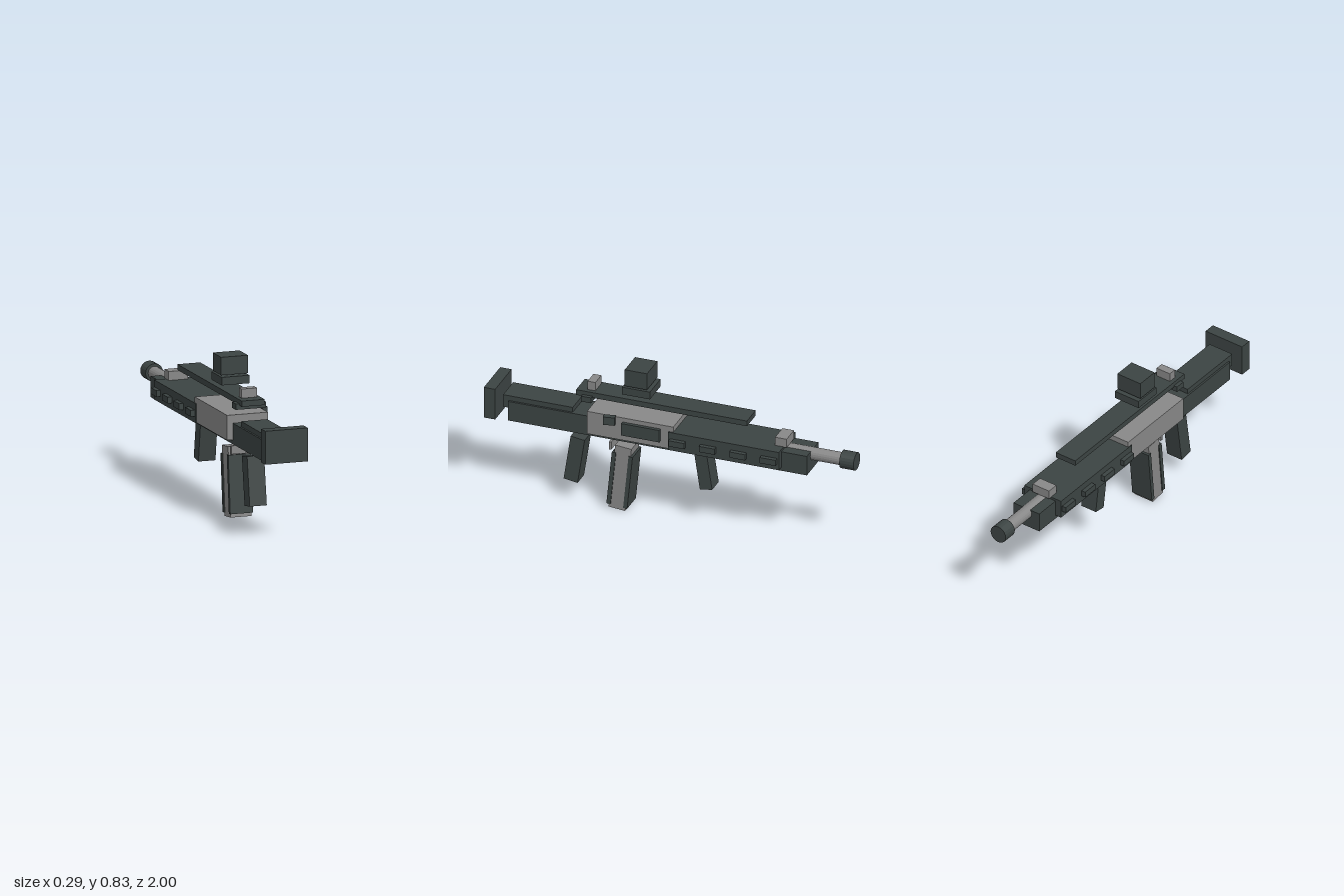
import * as THREE from 'three';

export function createModel() {
  const group = new THREE.Group();
  group.name = 'toyRifle';
  const dark = new THREE.MeshStandardMaterial({ color: 0x3c4443, flatShading: true });
  dark.name = 'dark gunmetal';
  const grey = new THREE.MeshStandardMaterial({ color: 0x888888, flatShading: true });
  grey.name = 'steel grey';
  const CX = -0.005; // centre line of the body

  function add(name, geometry, material, parent = group) {
    const mesh = new THREE.Mesh(geometry, material);
    mesh.name = name;
    parent.add(mesh);
    return mesh;
  }
  // box from its limits on each axis
  function box(name, material, [x0, x1], [y0, y1], [z0, z1]) {
    const m = add(name, new THREE.BoxGeometry(x1 - x0, y1 - y0, z1 - z0), material);
    m.position.set((x0 + x1) / 2, (y0 + y1) / 2, (z0 + z1) / 2);
    return m;
  }
  // box from centre and size, tilted about x
  function tilted(name, material, size, y, z, tilt) {
    const m = add(name, new THREE.BoxGeometry(...size), material);
    m.position.set(CX, y, z);
    m.rotation.x = tilt;
    return m;
  }

  // stock and body
  box('buttPlate', dark, [-0.121, 0.111], [0.433, 0.608], [0.938, 1]);
  box('lowerBody', dark, [-0.087, 0.077], [0.422, 0.532], [-0.758, 0.88]);
  box('upperStock', dark, [-0.077, 0.066], [0.49, 0.56], [0.53, 0.912]);
  box('receiver', grey, [-0.118, 0.104], [0.445, 0.575], [-0.036, 0.437]);
  box('handguard', dark, [-0.122, 0.112], [0.442, 0.545], [-0.618, -0.01]);

  // raised grips along both sides of the handguard
  for (let i = 0; i < 4; i++) {
    const z = -0.565 + i * 0.167;
    box('handguardRib', dark, [-0.145, 0.135], [0.476, 0.509], [z - 0.043, z + 0.043]);
  }

  // details on the +x side
  box('ejectionPort', dark, [0.109, 0.128], [0.485, 0.554], [0.032, 0.24]);
  const handle = add('chargingHandle', new THREE.BoxGeometry(0.031, 0.045, 0.062), dark);
  handle.position.set(0.121, 0.558, 0.308);
  handle.rotation.y = 0.17;

  // rail, sights and scope
  box('topRail', dark, [-0.067, 0.057], [0.632, 0.662], [-0.422, 0.515]);
  box('rearSightMount', dark, [-0.087, 0.077], [0.61, 0.641], [0.425, 0.48]);
  box('rearSight', grey, [-0.047, 0.037], [0.664, 0.712], [0.417, 0.46]);
  box('frontSight', grey, [-0.058, 0.046], [0.543, 0.592], [-0.635, -0.572]);
  box('scopeBase', dark, [-0.08, 0.071], [0.692, 0.734], [0.105, 0.258]);
  box('scope', dark, [-0.078, 0.068], [0.742, 0.836], [0.122, 0.244]);

  // barrel and muzzle
  function tube(name, material, radius, z0, z1) {
    const m = add(name, new THREE.CylinderGeometry(radius, radius, z1 - z0, 20), material);
    m.rotation.x = Math.PI / 2;
    m.position.set(CX, 0.509, (z0 + z1) / 2);
  }
  tube('barrel', grey, 0.034, -0.93, -0.6);
  tube('muzzle', dark, 0.048, -1, -0.922);

  // grips and trigger
  tilted('rearGrip', dark, [0.093, 0.257, 0.077], 0.245, 0.532, -0.152);
  tilted('foreGrip', dark, [0.093, 0.203, 0.068], 0.311, -0.176, 0.15);
  box('trigger', grey, [-0.058, 0.049], [0.346, 0.39], [0.325, 0.338]);

  // magazine with a panel on its front and back
  const magazine = tilted('magazine', grey, [0.115, 0.366, 0.09], 0.193, 0.276, -0.098);
  for (const side of [-1, 1]) {
    const panel = add('magazinePanel', new THREE.BoxGeometry(0.125, 0.305, 0.022), dark, magazine);
    panel.position.set(0, -0.012, side * 0.046);
  }
  return group;
}
